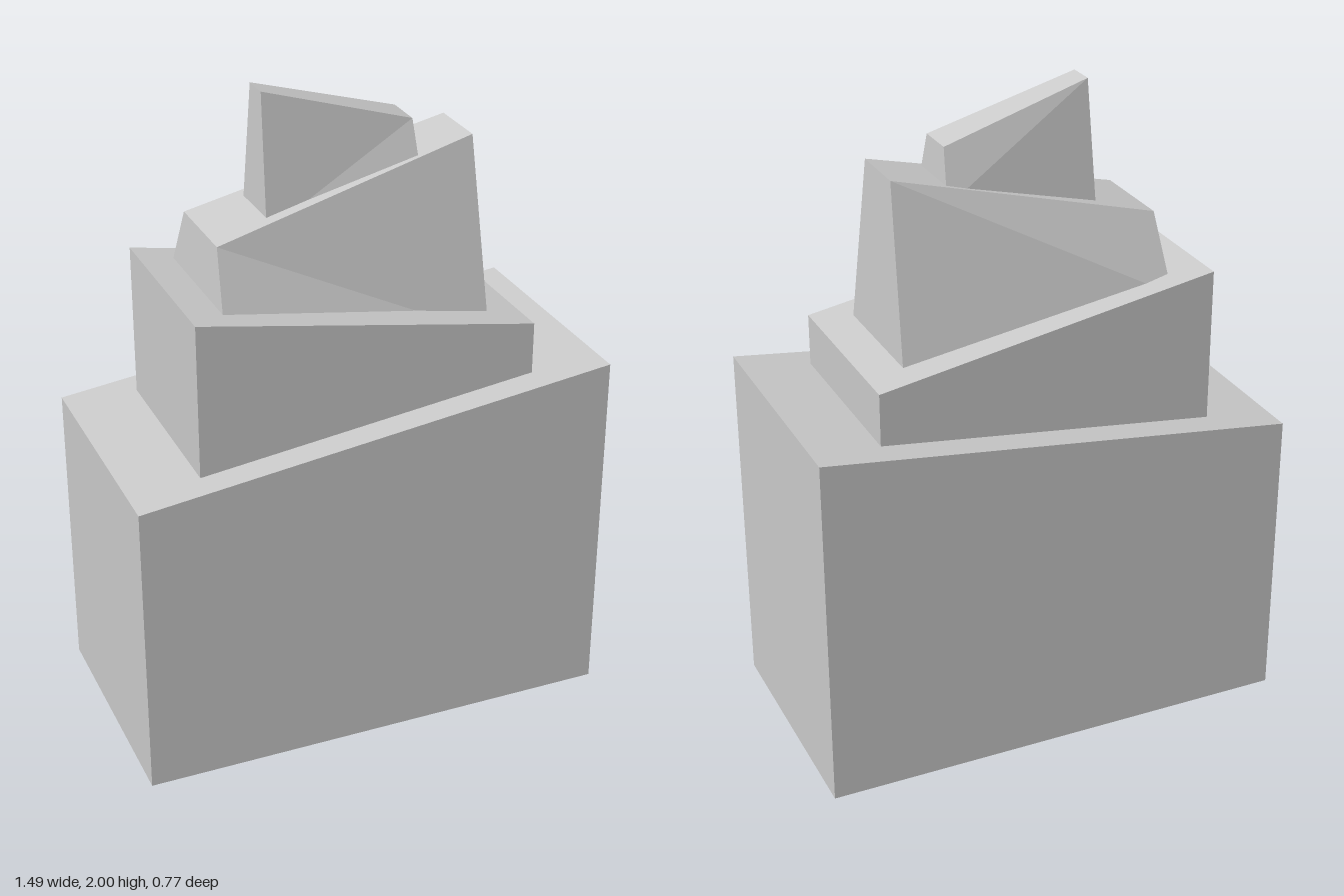
import * as THREE from 'three';

const material = new THREE.MeshStandardMaterial({ color: 0xcccccc, flatShading: true });

// Wedge block between a left-hand (-x) and right-hand (+x) end.
// Each end is { bottom, top }, both given as [x, y, half depth].
// The front face is creased upward or downward along x, the back face the other way.
function block(name, start, end, frontRising = true) {
  const corners = (sign) =>
    [start.bottom, end.bottom, end.top, start.top].map(([x, y, depth]) => [x, y, depth * sign]);
  const [fA, fB, fC, fD] = corners(1);
  const [bA, bB, bC, bD] = corners(-1);

  // Counter-clockwise quads, each split from its first to its third corner
  const quads = [
    frontRising ? [fA, fB, fC, fD] : [fB, fC, fD, fA], // front
    frontRising ? [bB, bA, bD, bC] : [bA, bD, bC, bB], // back
    [fB, bB, bC, fC], // +x end
    [bA, fA, fD, bD], // -x end
    [fD, fC, bC, bD], // top
    [bA, bB, fB, fA], // bottom
  ];
  const points = quads.flatMap(([a, b, c, d]) => [a, b, c, a, c, d]).flat();

  const geometry = new THREE.BufferGeometry();
  geometry.setAttribute('position', new THREE.Float32BufferAttribute(points, 3));
  geometry.computeVertexNormals();
  const mesh = new THREE.Mesh(geometry, material);
  mesh.name = name;
  return mesh;
}

export function createModel() {
  const model = new THREE.Group();
  model.name = 'steppedTower';

  model.add(
    // Upright base with a slanted roof
    block('base',
      { bottom: [-0.743, 0, 0.386], top: [-0.743, 0.94, 0.386] },
      { bottom: [0.743, 0, 0.386], top: [0.743, 1.125, 0.386] }),

    // Upright second tier, slanted the other way and sunk into the base
    block('secondTier',
      { bottom: [-0.528, 0.92, 0.295], top: [-0.528, 1.445, 0.295] },
      { bottom: [0.528, 1.05, 0.295], top: [0.528, 1.26, 0.295] }),

    // Tapered third tier, narrower at its high end
    block('thirdTier',
      { bottom: [-0.423, 1.37, 0.238], top: [-0.405, 1.6, 0.141] },
      { bottom: [0.42, 1.21, 0.213], top: [0.402, 1.805, 0.098] }, false),

    // Tapered peak
    block('peak',
      { bottom: [-0.239, 1.6, 0.097], top: [-0.23, 2, 0.043] },
      { bottom: [0.236, 1.705, 0.107], top: [0.226, 1.866, 0.062] }),
  );
  return model;
}
